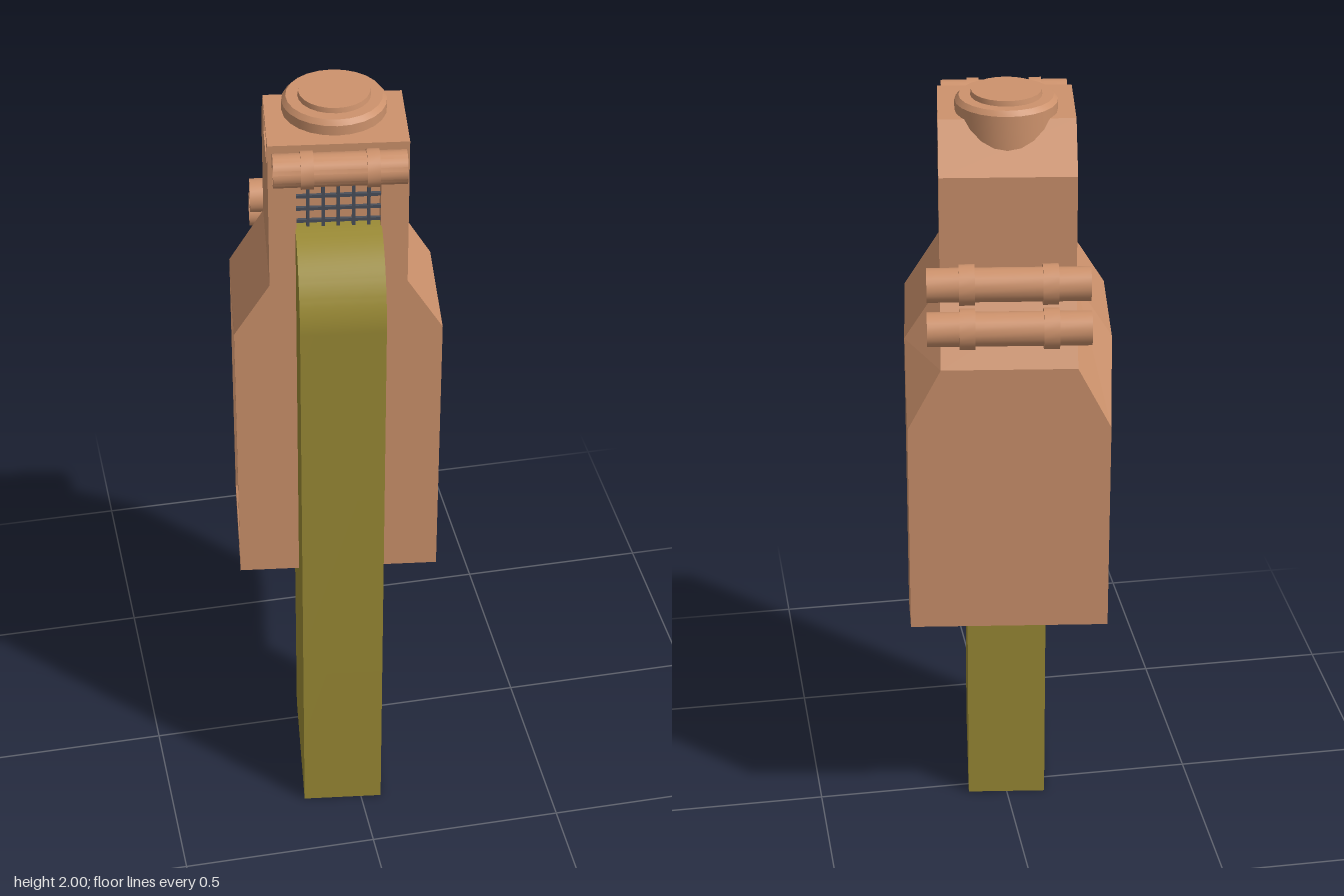
import * as THREE from 'three';
import { toCreasedNormals } from 'three/addons/utils/BufferGeometryUtils.js';

const tan = new THREE.MeshStandardMaterial({ color: 0xcd926c });
const olive = new THREE.MeshStandardMaterial({ color: 0x9a8a35 });
const dark = new THREE.MeshStandardMaterial({ color: 0x4a4f5a });

// Collects flat polygons (corners counter-clockwise from outside)
class Faces {
  constructor() { this.p = []; }
  poly(...c) {
    for (let i = 1; i < c.length - 1; i++) this.p.push(...c[0], ...c[i], ...c[i + 1]);
  }
  // Polygon plus its mirror image in x
  both(...c) {
    this.poly(...c);
    this.poly(...c.map(([x, y, z]) => [-x, y, z]).reverse());
  }
  // Rectangular frame around a recess: border, slanted reveal, floor
  recess(add, outer, inner, offset, shrink) {
    const mid = [0, 1, 2].map(k => (inner[0][k] + inner[2][k]) / 2);
    const floor = inner.map(v => v.map((a, k) => a + offset[k] + Math.sign(mid[k] - a) * shrink));
    for (let i = 0; i < 4; i++) {
      const j = (i + 1) % 4;
      this[add](outer[i], outer[j], inner[j], inner[i]);
      this[add](inner[i], inner[j], floor[j], floor[i]);
    }
    this[add](...floor);
  }
  geometry() {
    const g = new THREE.BufferGeometry();
    g.setAttribute('position', new THREE.Float32BufferAttribute(this.p, 3));
    g.computeVertexNormals();
    return g;
  }
}

const sideRect = (x, y0, y1, zf, zb) => [[x, y0, zf], [x, y0, zb], [x, y1, zb], [x, y1, zf]];
const frontRect = (w, y0, y1, z) => [[-w, y0, z], [w, y0, z], [w, y1, z], [-w, y1, z]];

function housing() {
  const f = new Faces();
  const W = 0.254, B = 0.249, N = 0.166;          // half widths: body, back, neck
  const F = 0.162, M = -0.165, K = -0.287, C = -0.07; // depths: front, side end, back, top edge
  const y0 = 0.67, y1 = 1.42, y2 = 1.56, y3 = 1.84, y4 = 1.95;
  // sides with long recessed panel
  f.recess('both', sideRect(W, y0, y1, F, M), sideRect(W, 0.7, 1.395, 0.142, -0.152), [-0.022, 0, 0], 0.01);
  f.both([W, y0, M], [B, y0, K], [B, 1.23, K], [W, y1, M]);
  // shoulders and cut corners
  f.both([W, y1, M], [B, 1.23, K], [N, 1.39, K], [N, y2, -0.17]);
  f.both([W, y1, F], [W, y1, M], [N, y2, -0.17], [N, y2, F]);
  // neck sides with small recessed window
  f.both(...sideRect(N, y2, y3, F, -0.17));
  f.both([N, y3, C], [N, y3, -0.17], [N, y4, C]);
  f.recess('both', sideRect(N, y3, y4, F, C), sideRect(N, 1.865, 1.935, 0.115, -0.045), [-0.012, 0, 0], 0);
  // front with grille opening
  f.poly(...frontRect(W, y0, y1, F));
  f.poly([-W, y1, F], [W, y1, F], [N, y2, F], [-N, y2, F]);
  f.recess('poly', frontRect(N, y2, y4, F), frontRect(0.1, 1.6, 1.86, F), [0, 0, -0.04], 0);
  // back, top and bottom
  f.poly([B, y0, K], [-B, y0, K], [-B, 1.23, K], [-N, 1.39, K], [N, 1.39, K], [B, 1.23, K]);
  const back = [[1.39, K], [y2, -0.17], [y3, -0.17], [y4, C], [y4, F]];
  for (let i = 0; i < back.length - 1; i++) {
    const [a, b] = [back[i], back[i + 1]];
    f.poly([N, ...a], [-N, ...a], [-N, ...b], [N, ...b]);
  }
  f.poly([W, y0, F], [-W, y0, F], [-W, y0, M], [-B, y0, K], [B, y0, K], [W, y0, M]);
  return f.geometry();
}

function lathe(points, segments) {
  const g = new THREE.LatheGeometry(points.map(([r, y]) => new THREE.Vector2(r, y)), segments);
  return toCreasedNormals(g, 0.5);
}

// Horizontal tube with two clamp rings and sunken ends
function tubeGeometry(half, r, ringAt, ringHalf, ringR) {
  const side = [[0, half - 0.008], [r - 0.01, half - 0.008], [r - 0.006, half], [r, half],
    [r, ringAt + ringHalf], [ringR, ringAt + ringHalf], [ringR, ringAt - ringHalf], [r, ringAt - ringHalf]];
  const lower = side.map(([a, y]) => [a, -y]);
  return lathe([...lower, ...side.reverse()], 24).rotateZ(Math.PI / 2);
}

export function createModel() {
  const model = new THREE.Group();
  model.name = 'device';
  const add = (name, geo, mat, x = 0, y = 0, z = 0) => {
    const m = new THREE.Mesh(geo, mat);
    m.name = name;
    m.position.set(x, y, z);
    model.add(m);
    return m;
  };

  add('housing', housing(), tan);

  // Post with rounded front top edge, profile in depth and height
  const R = 0.19, front = 0.333, top = 1.72;
  const s = new THREE.Shape();
  s.moveTo(-0.05, 0).lineTo(front, 0).lineTo(front, top - R);
  s.absarc(front - R, top - R, R, 0, Math.PI / 2, false);
  s.lineTo(-0.05, top).closePath();
  const post = new THREE.ExtrudeGeometry(s, { depth: 0.205, bevelEnabled: false, curveSegments: 16 });
  post.translate(0, 0, -0.1025).rotateY(-Math.PI / 2);
  add('post', toCreasedNormals(post, 0.5), olive);

  // Round cap on top
  add('cap', lathe([[0, 1.82], [0.125, 1.82], [0.125, 1.975], [0.115, 1.987], [0.087, 1.987],
    [0.085, 2], [0, 2]], 24), tan);

  // Grille bars
  for (let i = -2; i <= 2; i++) {
    add('grilleUpright', new THREE.BoxGeometry(0.008, 0.16, 0.008), dark, i * 0.036, 1.78, 0.15);
  }
  for (let i = 0; i < 4; i++) {
    add('grilleCrossbar', new THREE.BoxGeometry(0.2, 0.008, 0.008), dark, 0, 1.735 + i * 0.034, 0.15);
  }

  // Tubes: one in front, two on the back slope
  add('frontTube', tubeGeometry(0.156, 0.04, 0.077, 0.015, 0.045), tan, 0, 1.908, 0.203);
  const backTube = tubeGeometry(0.198, 0.042, 0.101, 0.019, 0.05);
  add('upperBackTube', backTube, tan, 0, 1.58, -0.209);
  add('lowerBackTube', backTube, tan, 0, 1.495, -0.278);

  // The whole body stands slightly turned
  model.rotation.y = -0.129;
  model.position.set(-0.006, 0, -0.001);
  const root = new THREE.Group();
  root.add(model);
  return root;
}
